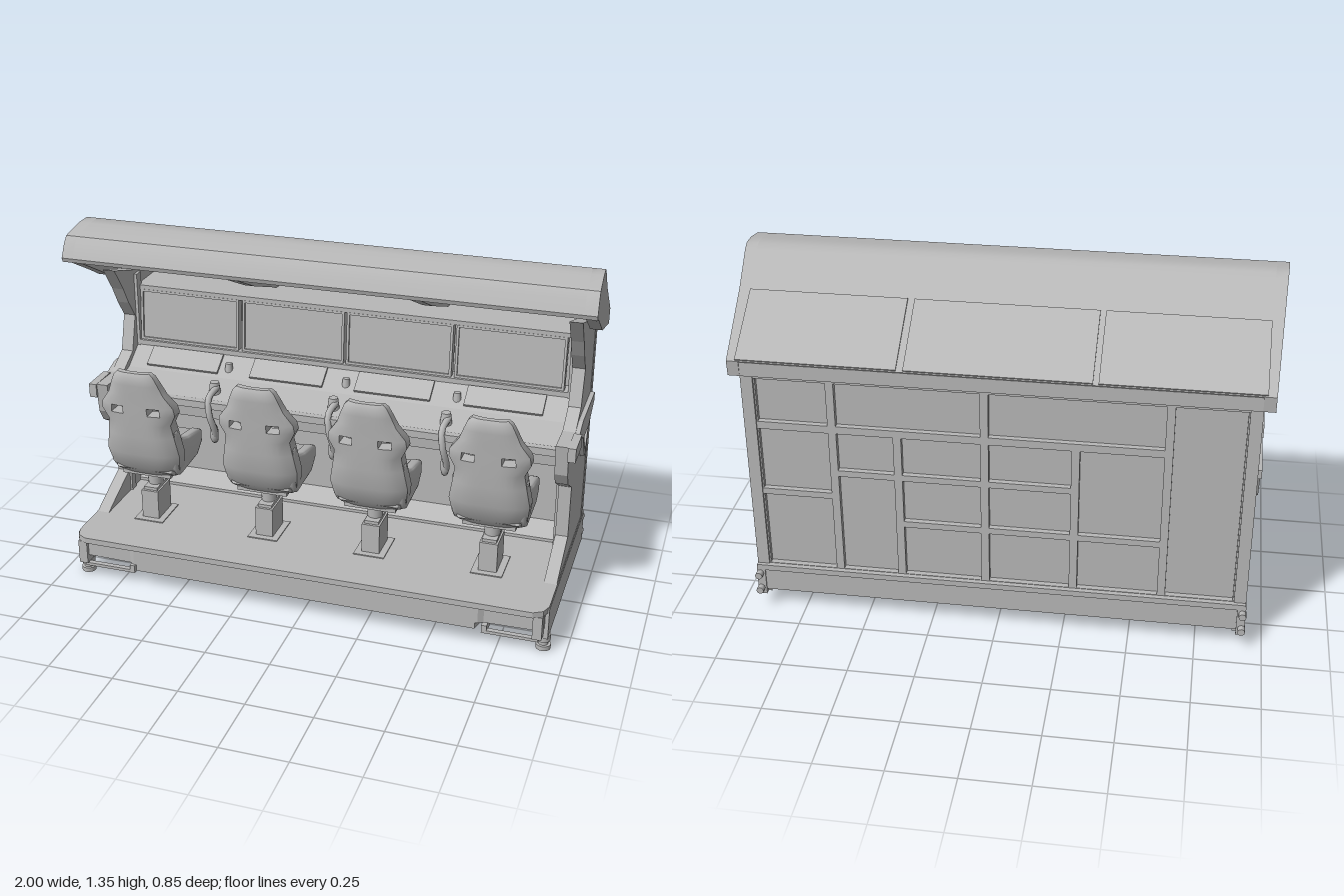
import * as THREE from 'three';
import { toCreasedNormals } from 'three/addons/utils/BufferGeometryUtils.js';

export function createModel() {
  const root = new THREE.Group();
  const grey = new THREE.MeshStandardMaterial({ color: 0xb8b8b8, side: THREE.DoubleSide });
  grey.name = 'grey';

  const add = (name, geo, parent = root) => {
    const m = new THREE.Mesh(geo, grey);
    m.name = name;
    parent.add(m);
    return m;
  };
  // box given by its min and max on each axis
  const box = (name, x0, x1, y0, y1, z0, z1, parent) =>
    add(name, new THREE.BoxGeometry(x1 - x0, y1 - y0, z1 - z0)
      .translate((x0 + x1) / 2, (y0 + y1) / 2, (z0 + z1) / 2), parent);
  const toShape = pts => new THREE.Shape(pts.map(p => new THREE.Vector2(p[0], p[1])));
  // side profile of [z, y] points, extruded from x0 to x1
  const slab = (pts, x0, x1, { hole, bevel = 0 } = {}) => {
    const shape = toShape(pts);
    if (hole) shape.holes.push(new THREE.Path(hole.map(p => new THREE.Vector2(p[0], p[1]))));
    const geo = new THREE.ExtrudeGeometry(shape, {
      depth: x1 - x0 - 2 * bevel, bevelEnabled: bevel > 0,
      bevelSize: bevel, bevelOffset: -bevel, bevelThickness: bevel, bevelSegments: 3,
    });
    geo.rotateY(-Math.PI / 2).translate(x1 - bevel, 0, 0);
    return bevel ? toCreasedNormals(geo, 1) : geo;
  };
  // plan outline of [x, z] points, extruded from y0 to y1
  const plan = (pts, y0, y1) =>
    new THREE.ExtrudeGeometry(toShape(pts.map(([x, z]) => [x, -z])), { depth: y1 - y0, bevelEnabled: false })
      .rotateX(-Math.PI / 2).translate(0, y0, 0);
  const mirrored = half => [...half, ...half.map(([x, z]) => [-x, z]).reverse()];

  // --- base ---
  add('platform', plan(mirrored([[0.93, -0.4], [0.93, 0.36], [0.915, 0.4], [0.88, 0.42]]), 0.165, 0.188));
  add('baseUpper', plan(mirrored([[0.925, -0.395], [0.925, 0.36], [0.9, 0.395], [0.7, 0.4], [0.68, 0.412]]), 0.1, 0.165));
  add('baseLower', plan(mirrored([[0.925, -0.395], [0.925, 0.3], [0.7, 0.3], [0.67, 0.412]]), 0.075, 0.1));
  for (const s of [-1, 1]) {
    const side = new THREE.Group();
    side.name = s > 0 ? 'leftCorner' : 'rightCorner';
    root.add(side);
    const sbox = (n, a, b, ...r) => box(n, Math.min(s * a, s * b), Math.max(s * a, s * b), ...r, side);
    sbox('baseSideRail', 0.9, 0.932, 0.055, 0.18, -0.4, 0.37);
    sbox('cornerPost', 0.88, 0.915, 0.07, 0.165, 0.36, 0.41);
    sbox('footBar', 0.7, 0.9, 0.048, 0.06, 0.37, 0.39);
    sbox('footBarEnd', 0.69, 0.71, 0.048, 0.08, 0.29, 0.39);
    for (const [r, y0, y1] of [[0.028, 0, 0.018], [0.018, 0.018, 0.034], [0.026, 0.034, 0.06]])
      add('foot', new THREE.CylinderGeometry(r, r, y1 - y0, 16).translate(s * 0.913, (y0 + y1) / 2, 0.34), side);
    for (const y of [0.083, 0.15])
      add('rearBumper', new THREE.CylinderGeometry(0.014, 0.014, 0.04, 12).rotateX(Math.PI / 2)
        .translate(s * 0.92, y, -0.405), side);
  }

  // --- side walls with desk arms ---
  const wall = [[-0.375, 0.17], [0.22, 0.18], [0.17, 0.205], [0, 0.28], [0, 0.49], [0.1, 0.55], [0.13, 0.6],
    [0.145, 0.72], [0, 0.715], [-0.1, 0.77], [-0.14, 0.91], [-0.09, 0.98], [-0.05, 1.05], [0.02, 1.15], [-0.375, 1.03]];
  const arm = [[0.15, 0.665], [0.15, 0.72], [0, 0.715], [-0.06, 0.735], [-0.34, 0.735], [-0.34, 0.7],
    [-0.24, 0.65], [-0.19, 0.54], [-0.17, 0.54], [-0.09, 0.66], [0, 0.665]];
  for (const s of [-1, 1]) {
    const span = (a, b) => s > 0 ? [a, b] : [-b, -a];
    const hole = [[-0.125, 0.64], [-0.235, 0.64], [-0.18, 0.55]];
    add('sideWall', slab(wall, ...span(0.9, 0.928), { hole }));
    add('sideWallInner', slab(wall, ...span(0.88, 0.9)));
    const armHole = [[-0.125, 0.645], [-0.22, 0.645], [-0.18, 0.565]];
    add('deskArm', slab(arm, ...span(0.925, 0.945), { hole: armHole }));
    box('armFront', ...span(0.925, 0.955), 0.665, 0.72, 0.02, 0.15);
    box('frontPost', ...span(0.872, 0.905), 0.18, 0.64, -0.04, -0.005);
    box('upperPost', ...span(0.868, 0.9), 0.76, 1.08, -0.19, -0.15);
    box('rearPost', ...span(0.885, 0.93), 0.06, 1.03, -0.385, -0.34);
  }

  // --- rear cabinet ---
  add('cabinet', slab([[-0.358, 0.18], [-0.1, 0.18], [-0.1, 0.2], [-0.16, 0.25], [-0.16, 0.62], [-0.215, 0.62],
    [-0.215, 1.028], [-0.358, 1.028]], -0.88, 0.88));
  const ribs = [ // [x0, x1, y0, y1]
    [-0.9, 0.9, 0.985, 1.02], [-0.9, 0.9, 0.15, 0.19], [-0.63, 0.9, 0.78, 0.81],
    [0.59, 0.62, 0.19, 0.99], [0.35, 0.38, 0.19, 0.8], [0.03, 0.06, 0.19, 0.99],
    [-0.3, -0.27, 0.19, 0.8], [-0.63, -0.6, 0.19, 0.99],
    [-0.3, 0.6, 0.6, 0.625], [-0.6, 0.37, 0.4, 0.425], [0.6, 0.9, 0.5, 0.525]];
  for (const r of ribs) box('rearRib', ...r, -0.38, -0.355);

  // --- desk ---
  add('desk', slab([[-0.22, 0.61], [0.085, 0.61], [0.09, 0.685], [0.05, 0.695],
    [-0.06, 0.72], [-0.16, 0.785], [-0.22, 0.79]], -0.89, 0.89));
  box('deskRail', -0.9, 0.9, 0.662, 0.69, 0.085, 0.115);
  box('monitorShelf', -0.88, 0.88, 0.782, 0.802, -0.22, -0.15);

  // --- monitors ---
  [-0.655, -0.22, 0.21, 0.642].forEach(x => {
    const g = new THREE.Group();
    g.name = 'monitor';
    g.position.set(x, 0.906, -0.185);
    g.rotation.x = -0.08;
    root.add(g);
    const frame = toShape([[-0.21, -0.104], [0.21, -0.104], [0.21, 0.104], [-0.21, 0.104]]);
    frame.holes.push(new THREE.Path([[-0.2, -0.095], [-0.2, 0.095], [0.2, 0.095], [0.2, -0.095]]
      .map(p => new THREE.Vector2(...p))));
    add('bezel', new THREE.ExtrudeGeometry(frame, { depth: 0.035, bevelEnabled: false }).translate(0, 0, -0.015), g);
    box('screen', -0.204, 0.204, -0.098, 0.098, -0.03, 0.012, g);
    // control panel on the slope of the desk
    const p = box('controlPanel', -0.15, 0.15, -0.008, 0.008, -0.045, 0.045);
    p.position.set(x, 0.755, -0.11);
    p.rotation.x = 0.57;
  });
  box('upperRail', -0.88, 0.88, 1.01, 1.028, -0.215, -0.175);

  // --- levers between the seats ---
  for (const x of [-0.465, 0.02, 0.46]) {
    const g = new THREE.Group();
    g.name = 'lever';
    g.position.x = x;
    root.add(g);
    const path = new THREE.CatmullRomCurve3([[0, 0.51, 0.07], [0.012, 0.56, 0.095], [0, 0.64, 0.118],
      [-0.008, 0.7, 0.1], [0, 0.722, 0.03]].map(p => new THREE.Vector3(...p)));
    add('leverArm', new THREE.TubeGeometry(path, 16, 0.013, 8), g);
    add('leverTip', new THREE.SphereGeometry(0.022, 12, 8).scale(0.8, 1.9, 0.8).translate(0.004, 0.55, 0.085), g);
    add('leverGrip', new THREE.CylinderGeometry(0.018, 0.026, 0.06, 12).translate(-0.01, 0.712, 0.03), g);
    add('leverKnob', new THREE.CylinderGeometry(0.013, 0.02, 0.06, 10).translate(0, 0.74, -0.1), g);
  }

  // --- canopy ---
  const roofTop = [[-0.4, 1.06], [-0.15, 1.23], [-0.03, 1.335], [0, 1.35], [0.06, 1.347], [0.16, 1.325],
    [0.18, 1.3], [0.205, 1.25], [0.2, 1.234]];
  const taper = geo => {
    const p = geo.attributes.position;
    for (let i = 0; i < p.count; i++) p.setX(i, p.getX(i) * (1 - 0.05 * (0.2 - p.getZ(i))));
    return toCreasedNormals(geo, 0.6);
  };
  add('canopy', taper(slab([...roofTop, [0.165, 1.235], [-0.06, 1.14], [-0.38, 1.03]], -0.955, 0.955)));
  for (const [a, b] of [[-1, -0.955], [0.955, 1]])
    add('canopyEnd', taper(slab([...roofTop, [0.155, 1.22], [0, 1.135], [-0.06, 1.1], [-0.395, 1.0]], a, b)));
  for (const x of [-0.355, 0.345])
    add('canopyRib', slab([[0.16, 1.24], [0.16, 1.222], [-0.06, 1.12], [-0.36, 1.01], [-0.36, 1.05]], x - 0.02, x + 0.02));
  for (const [a, b] of [[-0.94, -0.36], [-0.34, 0.33], [0.355, 0.94]])
    add('canopyPanel', slab([[-0.395, 1.06], [-0.15, 1.225], [-0.155, 1.234], [-0.398, 1.067]], a, b));
  box('canopyRearLip', -0.93, 0.93, 1.0, 1.06, -0.395, -0.37);

  // --- seats ---
  // backrest rows: height, half width, rear z, thickness
  const rows = [[0.395, 0.12, 0.21, 0.06], [0.43, 0.14, 0.238, 0.08], [0.5, 0.15, 0.264, 0.09],
    [0.58, 0.136, 0.274, 0.09], [0.635, 0.128, 0.28, 0.085], [0.68, 0.15, 0.284, 0.08], [0.712, 0.146, 0.287, 0.075],
    [0.76, 0.112, 0.291, 0.065], [0.805, 0.095, 0.296, 0.055], [0.84, 0.08, 0.298, 0.047], [0.855, 0.065, 0.29, 0.032]];
  const cols = 12;
  const pos = [];
  const pt = (i, j, front) => {
    const [y, w, z, t] = rows[i], u = j / (cols / 2) - 1;
    return [w * u, y, front ? z - t * (0.62 + 0.4 * u * u) : z - 0.4 * t * u ** 4];
  };
  const quad = (a, b, c, d) => pos.push(...a, ...b, ...c, ...a, ...c, ...d);
  const rim = (i, j, k, l) => quad(pt(i, j, false), pt(i, j, true), pt(k, l, true), pt(k, l, false));
  const last = rows.length - 1;
  for (let i = 0; i < last; i++) {
    for (let j = 0; j < cols; j++) {
      if (i === 5 && [2, 3, 8, 9].includes(j)) continue; // belt slots
      quad(pt(i, j), pt(i, j + 1), pt(i + 1, j + 1), pt(i + 1, j));
      quad(pt(i, j + 1, true), pt(i, j, true), pt(i + 1, j, true), pt(i + 1, j + 1, true));
    }
    rim(i + 1, cols, i, cols);
    rim(i, 0, i + 1, 0);
  }
  for (let j = 0; j < cols; j++) { rim(0, j + 1, 0, j); rim(last, j, last, j + 1); }
  for (const j of [2, 8]) {
    rim(5, j + 2, 6, j + 2); rim(6, j, 5, j);
    for (const k of [j, j + 1]) { rim(5, k, 5, k + 1); rim(6, k + 1, 6, k); }
  }
  const backGeo = new THREE.BufferGeometry();
  backGeo.setAttribute('position', new THREE.Float32BufferAttribute(pos, 3));
  const backrest = toCreasedNormals(backGeo, 1);

  const cushion = slab([[0.23, 0.42], [0.2, 0.398], [0, 0.405], [-0.045, 0.43], [-0.055, 0.475], [-0.03, 0.495],
    [0.1, 0.485], [0.2, 0.5]], -0.12, 0.12, { bevel: 0.012 });
  const bolsterProfile = [[0.225, 0.44], [0.19, 0.4], [0.02, 0.41], [-0.03, 0.45], [-0.03, 0.5], [0, 0.515],
    [0.1, 0.53], [0.17, 0.55], [0.2, 0.6], [0.235, 0.6]];

  [-0.7, -0.22, 0.21, 0.665].forEach(x => {
    const g = new THREE.Group();
    g.name = 'seat';
    g.position.x = x;
    root.add(g);
    add('backrest', backrest, g);
    add('cushion', cushion, g);
    for (const [a, b] of [[-0.14, -0.098], [0.098, 0.14]])
      add('bolster', slab(bolsterProfile, a, b, { bevel: 0.013 }), g);
    box('seatPlate', -0.1, 0.1, 0.386, 0.402, 0.05, 0.21, g);
    add('seatColumn', new THREE.CylinderGeometry(0.034, 0.028, 0.09, 16).translate(0, 0.345, 0.13), g);
    box('pedestal', -0.035, 0.035, 0.18, 0.31, 0.075, 0.195, g);
    box('pedestalCap', -0.028, 0.028, 0.31, 0.322, 0.085, 0.185, g);
    box('floorPlate', -0.06, 0.06, 0.18, 0.192, 0.06, 0.22, g);
  });

  return root;
}
